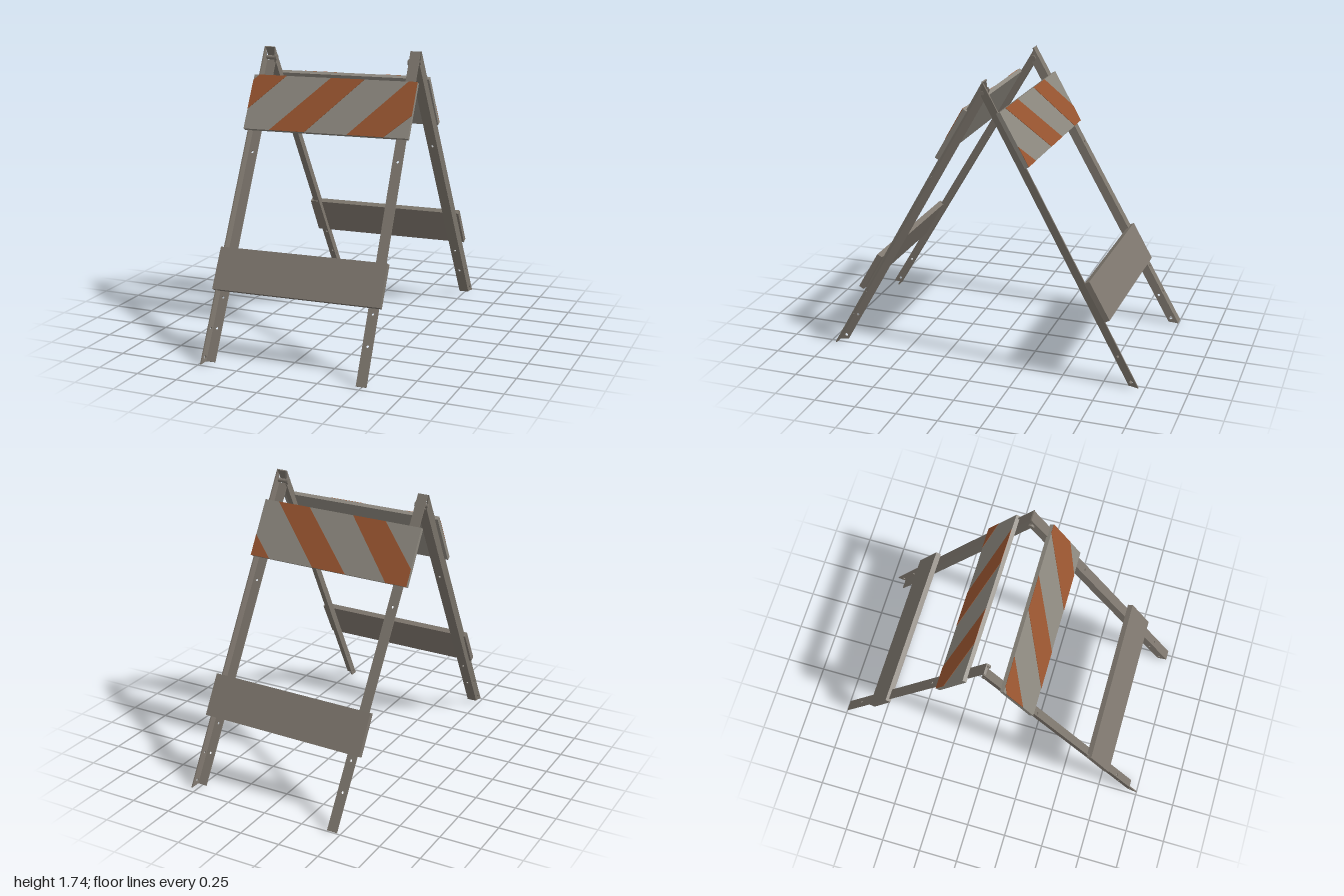
import * as THREE from 'three';

const mat = (name, color) => {
  const m = new THREE.MeshStandardMaterial({ color });
  m.name = name;
  return m;
};

export function createModel() {
  const steel = mat('weathered steel', 0x7d766d);
  const paint = mat('pale paint', 0x8c877e);
  const orange = mat('orange paint', 0x97542f);

  const APEX = 1.73, SLOPE = 0.517, LEG_W = 0.062, FLANGE = 0.05, T = 0.008;
  const model = new THREE.Group();
  model.name = 'barricade';

  const add = (parent, name, geo, material, x = 0, y = 0, z = 0) => {
    const m = new THREE.Mesh(geo, material);
    m.name = name;
    m.position.set(x, y, z);
    parent.add(m);
    return m;
  };

  // Flat plate cut from an outline, with round holes [x, y, r]
  const plate = (points, depth, holes = []) => {
    const s = new THREE.Shape(points.map(([x, y]) => new THREE.Vector2(x, y)));
    for (const [x, y, r] of holes) {
      s.holes.push(new THREE.Path().absarc(x, y, r, 0, Math.PI * 2, true));
    }
    return new THREE.ExtrudeGeometry(s, { depth, bevelEnabled: false, curveSegments: 8 });
  };

  // Angle-iron leg hanging from its top end; the two legs of a frame are the
  // same iron, one with its flange turned outwards, the other inwards
  function leg(parent, x, top, angle, len, tilt) {
    const out = x < 0;
    const h = LEG_W / 2;
    const g = new THREE.Group();
    g.name = 'leg';
    g.position.set(x, top, 0);
    g.rotation.set(-angle, 0, tilt);
    parent.add(g);

    const start = out ? -0.07 : 0;
    const end = -len + (out ? FLANGE * 0.6 : 0);
    const holes = [1.14, 0.36, 0.2].map((y) => [0, -(top - y) / Math.cos(angle), 0.008]);
    add(g, 'legFace', plate([[-h, end], [h, end], [h, start], [-h, start]], T, holes),
      steel, 0, 0, out ? -FLANGE : -T);

    const side = plate(
      [[0, -len], [FLANGE, -len + FLANGE * 0.7], [FLANGE, -0.07], [0, 0]], T,
      [[0.026, -len + 0.05, 0.01], [0.026, -len + 0.22, 0.008]]);
    side.rotateY(Math.PI / 2);
    add(g, 'legFlange', side, steel, out ? -h - 0.008 : -h, 0, out ? 0 : -0.002)
      .rotation.y = out ? -0.16 : 0.1;
  }

  // Board lying across the legs, positioned by distance down the slope
  function board(parent, name, x, s, w, h, d, tilt, material) {
    const g = new THREE.Group();
    g.name = name;
    g.position.set(x, -s, 0);
    g.rotation.z = tilt;
    parent.add(g);
    add(g, name + 'Panel', new THREE.BoxGeometry(w, h, d), material, 0, 0, d / 2 - 0.006);
    return g;
  }

  // Stripe outlines: x across the board, y from 0 (bottom) to 1 (top)
  const frontStripes = [
    [[-0.525, 0.36], [-0.31, 1], [-0.49, 1], [-0.525, 0.9]],
    [[-0.355, 0], [-0.125, 0], [0.195, 1], [-0.02, 1]],
    [[0.145, 0], [0.375, 0], [0.525, 0.4], [0.525, 1], [0.47, 1]],
  ];
  const backStripes = [
    [[-0.525, 0], [-0.395, 0], [-0.525, 0.37]],
    [[-0.095, 0], [0.125, 0], [-0.215, 1], [-0.43, 1]],
    [[0.39, 0], [0.525, 0], [0.525, 0.3], [0.295, 1], [0.08, 1]],
  ];

  // One side of the A-frame; m = -1 mirrors it left to right
  function frame(name, m, stripes) {
    const f = new THREE.Group();
    f.name = name;
    if (m < 0) f.rotation.y = Math.PI;
    model.add(f);

    leg(f, m * -0.492, 1.722, 0.527, 1.988, m * 0.023);
    leg(f, m * 0.45, 1.737, 0.508, 1.985, m * 0.024);

    const slope = new THREE.Group();
    slope.name = 'boards';
    slope.position.y = APEX;
    slope.rotation.x = -SLOPE;
    f.add(slope);

    const H = 0.35, D = 0.026;
    const upper = board(slope, 'upperBoard', m * -0.017, 0.373, 1.05, H, D, m * 0.014, paint);
    for (const pts of stripes) {
      const outline = pts.map(([x, y]) => [x, (y - 0.5) * H]);
      add(upper, 'stripe', plate(outline, 0.003), orange, 0, 0, D - 0.007);
    }
    board(slope, 'lowerBoard', m * 0.013, 1.416, 1.045, 0.256, 0.034, m * 0.014, steel);
  }

  frame('frontFrame', 1, frontStripes);
  frame('backFrame', -1, backStripes);

  // Hinge bolts through the leg tops
  for (const [x, inner, y] of [[-0.49, 1, 1.655], [0.45, -1, 1.67]]) {
    const shaft = new THREE.CylinderGeometry(0.012, 0.012, 0.075, 10);
    shaft.rotateZ(Math.PI / 2);
    add(model, 'hingeBolt', shaft, steel, x, y, 0);
    const head = new THREE.CylinderGeometry(0.02, 0.02, 0.014, 6);
    head.rotateZ(Math.PI / 2);
    add(model, 'hingeNut', head, steel, x + inner * 0.036, y, 0);
  }
  return model;
}
